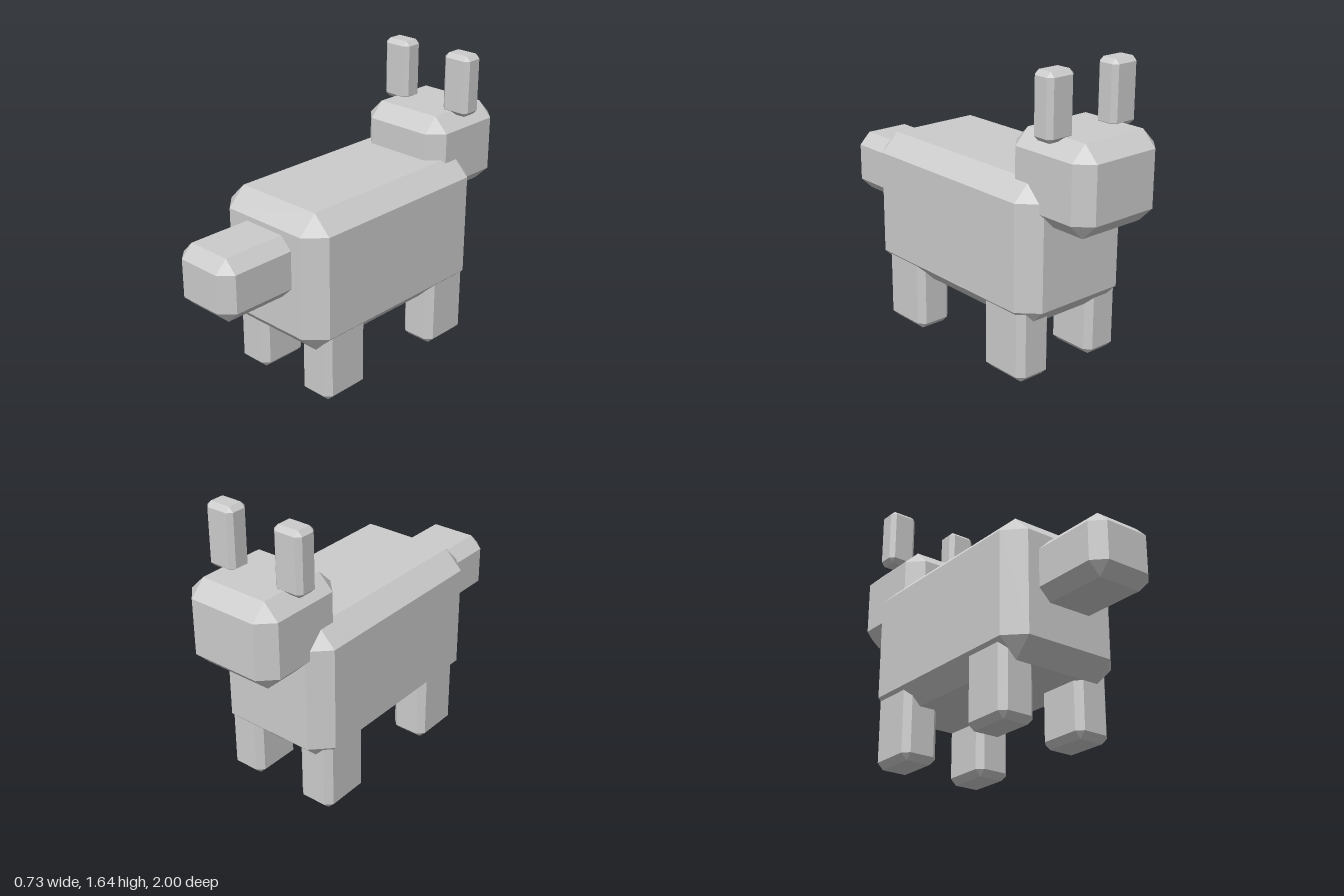
import * as THREE from 'three';
import { ConvexGeometry } from 'three/addons/geometries/ConvexGeometry.js';

const material = new THREE.MeshStandardMaterial({ color: 0xcccccc, flatShading: true });

// Box with every edge cut at 45 degrees, given by its min and max corners
function chamferBox(name, min, max, c) {
  const center = min.map((v, i) => (v + max[i]) / 2);
  const half = min.map((v, i) => (max[i] - v) / 2);
  const points = [];
  for (const sx of [-1, 1]) for (const sy of [-1, 1]) for (const sz of [-1, 1]) {
    // one point per face meeting at this corner
    for (let face = 0; face < 3; face++) {
      const p = [sx, sy, sz].map((s, i) => s * (half[i] - (i === face ? 0 : c)));
      points.push(new THREE.Vector3(...p));
    }
  }
  const mesh = new THREE.Mesh(new ConvexGeometry(points), material);
  mesh.position.set(...center);
  mesh.name = name;
  return mesh;
}

export function createModel() {
  const model = new THREE.Group();
  model.name = 'animal';

  // Torso, head at the back end and block at the front end
  model.add(chamferBox('body', [-0.365, 0.30, -0.72], [0.365, 1.08, 0.57], 0.102));
  model.add(chamferBox('head', [-0.28, 0.843, -1], [0.28, 1.315, -0.445], 0.083));
  model.add(chamferBox('tail', [-0.195, 0.605, 0.4], [0.195, 0.95, 1], 0.067));

  // Mirrored ears and legs
  for (const [side, s] of [['left', 1], ['right', -1]]) {
    const pair = (name, x0, x1, y0, y1, z0, z1, c) => {
      const [a, b] = s > 0 ? [x0, x1] : [-x1, -x0];
      model.add(chamferBox(side + name, [a, y0, z0], [b, y1, z1], c));
    };
    pair('Ear', 0.13, 0.30, 1.293, 1.637, -0.785, -0.655, 0.025);
    pair('FrontLeg', 0.135, 0.348, 0, 0.5, 0.165, 0.467, 0.035);
    pair('BackLeg', 0.135, 0.348, 0, 0.5, -0.655, -0.355, 0.035);
  }
  return model;
}
